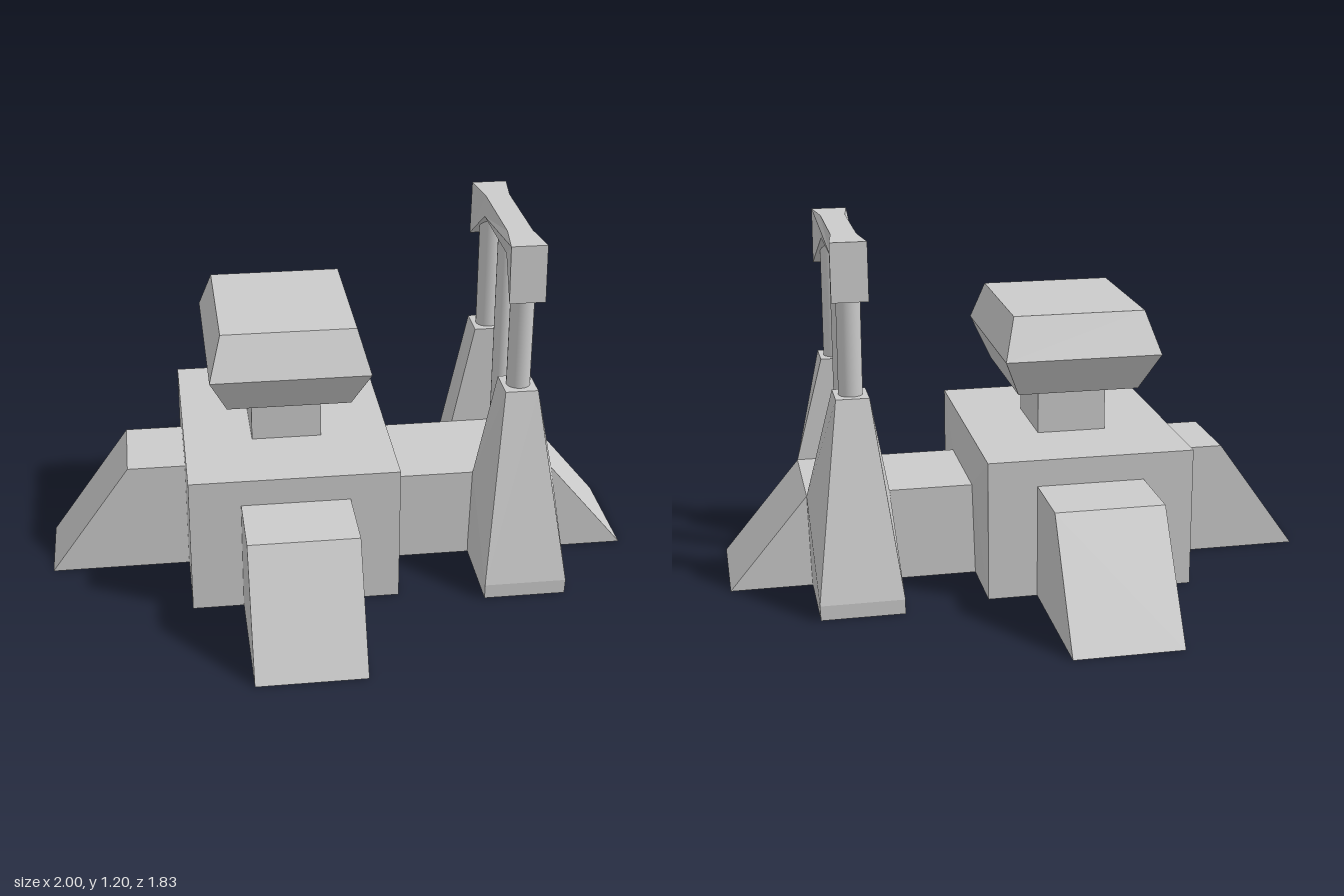
import * as THREE from 'three';
import { ConvexGeometry } from 'three/addons/geometries/ConvexGeometry.js';

const MID_Z = 0.022; // symmetry plane of the gantry
const GANTRY_X = 0.585;

const flat = new THREE.MeshStandardMaterial({ color: 0xcccccc, flatShading: true });
const smooth = new THREE.MeshStandardMaterial({ color: 0xcccccc });

// Faceted solid through rectangles given as [y, x0, x1, z0, z1]
function solid(name, ...levels) {
  const points = [];
  for (const [y, x0, x1, z0, z1] of levels) {
    for (const x of [x0, x1]) for (const z of [z0, z1]) points.push(new THREE.Vector3(x, y, z));
  }
  const mesh = new THREE.Mesh(new ConvexGeometry(points), flat);
  mesh.name = name;
  return mesh;
}

// Upright round rod
function rod(name, radius, y0, y1, z) {
  const mesh = new THREE.Mesh(new THREE.CylinderGeometry(radius, radius, y1 - y0, 24), smooth);
  mesh.position.set(GANTRY_X, (y0 + y1) / 2, z);
  mesh.name = name;
  return mesh;
}

// Gantry pylon: upright inner face, sloping outer face
function pylon(name, side) {
  const z = (d) => MID_Z + side * d;
  return solid(name,
    [0, 0.45, 0.725, z(0.192), z(0.491)],
    [0.05, 0.45, 0.727, z(0.192), z(0.491)],
    [0.32, 0.457, 0.735, z(0.192), z(0.192)],
    [0.685, 0.53, 0.64, z(0.192), z(0.316)]);
}

// Arched beam, waisted towards the middle
function beam() {
  const half = [[0.173, 1.12], [0.322, 1.005], [0.311, 1.197], [0.173, 1.197]];
  const outline = [...half, ...half.map(([z, y]) => [-z, y]).reverse()];
  const shape = new THREE.Shape(outline.map(([z, y]) => new THREE.Vector2(z, y)));
  const geometry = new THREE.ExtrudeGeometry(shape, { depth: 2, bevelEnabled: false });
  geometry.translate(0, 0, -1).rotateY(-Math.PI / 2);
  const p = geometry.attributes.position;
  for (let i = 0; i < p.count; i++) {
    const width = Math.abs(p.getZ(i)) > 0.2 ? 0.06 : 0.042;
    p.setX(i, Math.sign(p.getX(i)) * width);
  }
  geometry.translate(GANTRY_X, 0, MID_Z);
  geometry.computeVertexNormals();
  const mesh = new THREE.Mesh(geometry, flat);
  mesh.name = 'gantryBeam';
  return mesh;
}

export function createModel() {
  const model = new THREE.Group();
  model.name = 'blockyStation';

  // Central block, its left face bowed out slightly at the arm
  model.add(solid('centralBlock',
    [0, -0.53, 0.165, -0.41, 0.455],
    [0.32, 0.175, 0.175, -0.17, 0.214],
    [0.475, -0.53, 0.165, -0.41, 0.455]));

  // Four arms with sloping ends
  model.add(
    solid('frontArm', [0, -0.36, 0, 0, 0.912], [0.385, -0.36, 0, 0, 0.7]),
    solid('backArm', [0, -0.36, 0, -0.915, 0], [0.385, -0.36, 0, -0.66, 0]),
    solid('rightArm', [0, -1, -0.4, -0.125, 0.165], [0.385, -0.725, -0.4, -0.125, 0.165]),
    solid('leftArm', [0, 0, 1, -0.17, 0.214], [0.32, 0, 0.735, -0.17, 0.214]));

  // Neck and faceted head
  model.add(
    solid('neck', [0.47, -0.3, -0.065, -0.122, 0.168], [0.66, -0.3, -0.065, -0.122, 0.168]),
    solid('head',
      [0.645, -0.387, 0.025, -0.225, 0.27],
      [0.78, -0.445, 0.083, -0.308, 0.352],
      [0.917, -0.403, 0.043, -0.235, 0.278]));

  // Gantry
  const gantry = new THREE.Group();
  gantry.name = 'gantry';
  for (const [name, side] of [['front', 1], ['back', -1]]) {
    gantry.add(pylon(name + 'Pylon', side));
    gantry.add(rod(name + 'Column', 0.04, 0.67, 1.11, MID_Z + side * 0.253));
  }
  gantry.add(rod('centreRod', 0.032, 0.31, 1.13, MID_Z + 0.003), beam());
  model.add(gantry);

  return model;
}
